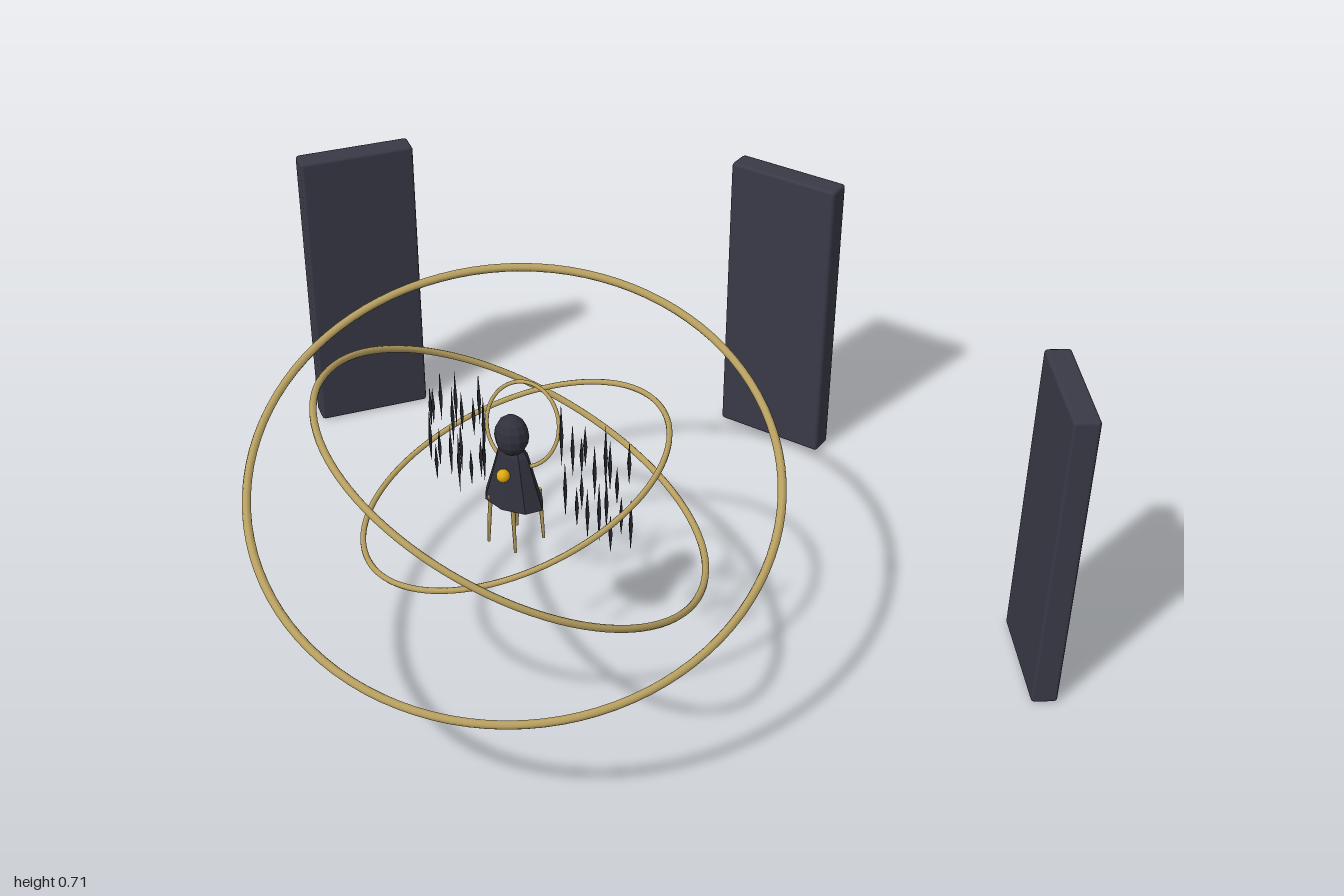
import * as THREE from 'three';
import { RoundedBoxGeometry } from 'three/addons/geometries/RoundedBoxGeometry.js';

const mat = (color, flatShading = false) => new THREE.MeshStandardMaterial({ color, flatShading });

export function createModel() {
  const model = new THREE.Group();
  const stone = mat(0x3a3a48), cloth = mat(0x30313c, true), dark = mat(0x24252e, true);
  const brass = mat(0xb8a060), gold = mat(0xe0a810);

  const add = (name, geometry, material, x, y, z, parent = model) => {
    const mesh = new THREE.Mesh(geometry, material);
    mesh.name = name;
    mesh.position.set(x, y, z);
    parent.add(mesh);
    return mesh;
  };

  // Three standing slabs, the outer two turned inwards
  const slabGeo = new RoundedBoxGeometry(0.27, 0.71, 0.057, 1, 0.008);
  add('backSlab', slabGeo, stone, 0, 0.355, -0.79);
  for (const s of [-1, 1]) {
    add(s > 0 ? 'leftSlab' : 'rightSlab', slabGeo, stone, s * 0.9, 0.355, -0.327).rotation.y = -s * 0.94;
  }

  // Tilted orbit rings, each set by radius, tube and plane normal
  const rings = [
    ['outerRing', 0.5365, 0.009, [0.206, 0.922, 0.327]],
    ['middleRing', 0.435, 0.0075, [0.334, 0.889, -0.314]],
    ['innerRing', 0.331, 0.006, [-0.316, 0.933, 0.173]],
  ];
  for (const [name, radius, tube, normal] of rings) {
    const ring = add(name, new THREE.TorusGeometry(radius, tube, 8, 96), brass, 0, 0.495, 0.302);
    ring.quaternion.setFromUnitVectors(new THREE.Vector3(0, 0, 1), new THREE.Vector3(...normal).normalize());
  }

  // Floating figure
  const figure = new THREE.Group();
  figure.name = 'figure';
  figure.position.z = 0.305;
  model.add(figure);

  // Faceted robe, flattened front to back
  const robe = [[0, 0.452], [0.07, 0.452], [0.052, 0.51], [0.036, 0.565], [0.022, 0.585], [0, 0.59]]
    .map(([r, y]) => new THREE.Vector2(r, y));
  add('robe', new THREE.LatheGeometry(robe, 8), cloth, 0, 0, 0, figure).scale.z = 0.62;
  add('head', new THREE.SphereGeometry(0.036, 12, 8), cloth, 0, 0.61, 0.002, figure).scale.set(1, 1.25, 0.9);
  add('chestOrb', new THREE.SphereGeometry(0.014, 14, 10), gold, 0, 0.53, 0.034, figure);

  // Thin strands hanging below the robe
  const strandGeo = new THREE.CylinderGeometry(0.005, 0.003, 0.12, 6);
  [[-0.042, 0.028], [-0.018, -0.035], [0.02, 0.03], [0.046, -0.03]].forEach(([x, z], i) => {
    add('strand', strandGeo, brass, x, 0.405 + (i % 2) * 0.012, z, figure).rotation.z = x * 1.6;
  });

  // Halo leaning back behind the head
  add('halo', new THREE.TorusGeometry(0.085, 0.004, 8, 48), brass, 0, 0.615, -0.035, figure).rotation.x = -0.4;

  // Wings of slender floating shards, each a stretched octahedron
  const shardGeo = new THREE.OctahedronGeometry(1);
  for (const s of [-1, 1]) {
    const wing = new THREE.Group();
    wing.name = s > 0 ? 'leftWing' : 'rightWing';
    figure.add(wing);
    for (let i = 0; i < 9; i++) {
      for (let row = 0; row < 2; row++) {
        const wave = Math.sin(i * 2.4 + row * 1.7 + s);
        const x = s * (0.095 + i * 0.0185 + row * 0.005);
        const y = 0.6 - row * 0.12 + wave * 0.03 - i * 0.003;
        const shard = add('shard', shardGeo, dark, x, y, -0.042 + 0.009 * Math.cos(i * 1.9 + row), wing);
        shard.scale.set(0.005, 0.06 + 0.015 * Math.cos(i * 1.3 + row), 0.005);
      }
    }
  }
  return model;
}
